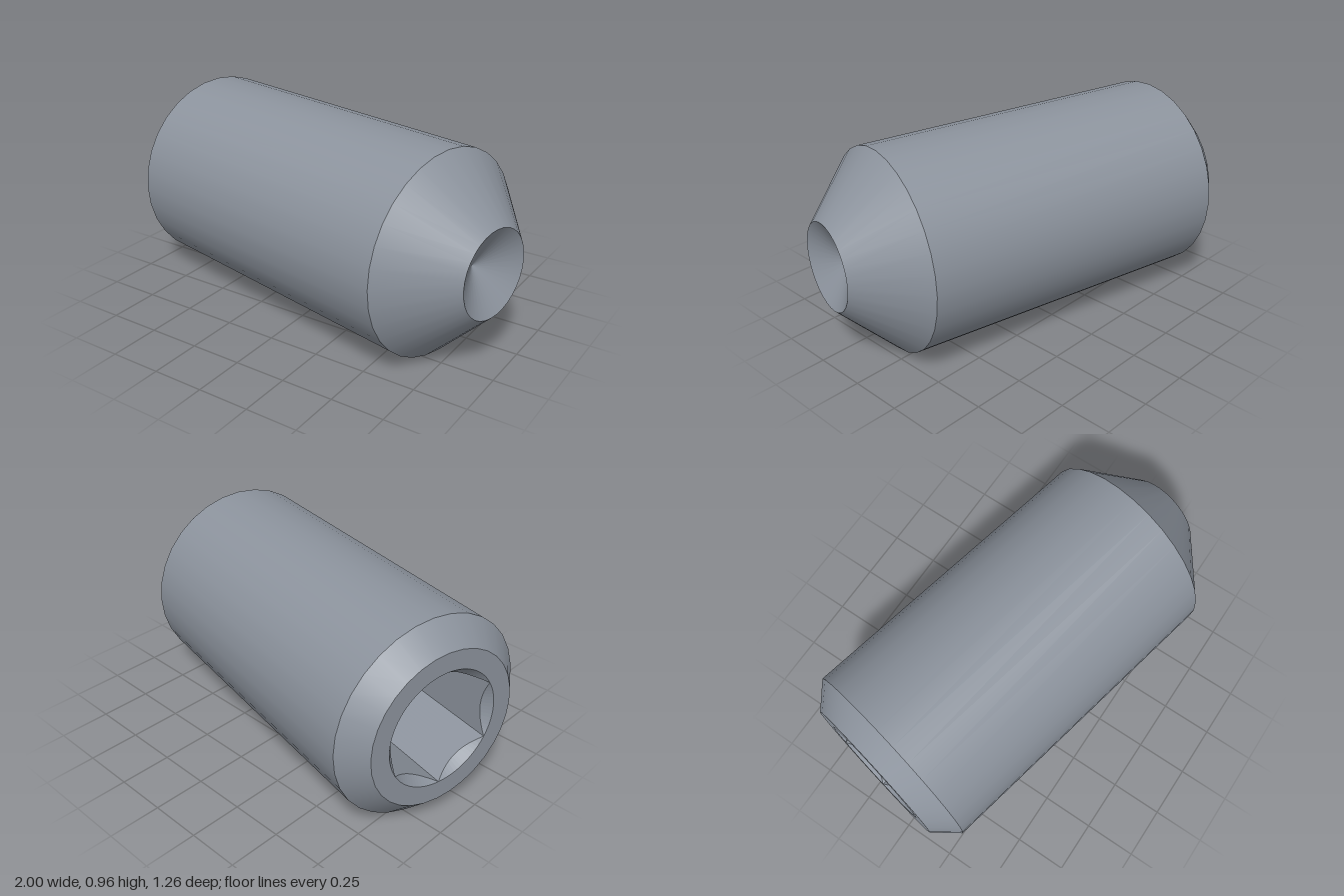
import * as THREE from 'three';

const SIDES = 32;
const BACK = -0.943; // rear face position along the axis

// radius of a regular n-gon at angle t, with a corner at t = 0
function polygonRadius(n, corner, t) {
  const step = (2 * Math.PI) / n;
  const a = t - Math.floor(t / step + 1e-6) * step;
  return (corner * Math.cos(step / 2)) / Math.cos(a - step / 2);
}

// flat-shaded skin between two closed rings; each ring maps an angle to [radius, height]
function strip(ringA, ringB, samples = 96) {
  const at = (ring, i) => {
    const t = ((i % samples) / samples) * Math.PI * 2;
    const [r, y] = ring(t);
    return [r * Math.cos(t), y, r * Math.sin(t)];
  };
  const pos = [];
  for (let i = 0; i < samples; i++) {
    const a = at(ringA, i), b = at(ringA, i + 1), c = at(ringB, i + 1), d = at(ringB, i);
    pos.push(...a, ...b, ...d);
    if (Math.hypot(c[0] - d[0], c[2] - d[2]) > 1e-6) pos.push(...b, ...c, ...d);
  }
  const g = new THREE.BufferGeometry();
  g.setAttribute('position', new THREE.Float32BufferAttribute(pos, 3));
  g.computeVertexNormals();
  return g;
}

export function createModel() {
  const steel = new THREE.MeshStandardMaterial({ color: 0x8c939d });
  steel.name = 'steel';

  const screw = new THREE.Group();
  screw.name = 'setScrew';
  const add = (name, geometry) => {
    const mesh = new THREE.Mesh(geometry, steel);
    mesh.name = name;
    screw.add(mesh);
  };

  // turned surfaces, one per section so the edges stay sharp
  const turned = [
    ['rearChamfer', 0.373, BACK, 0.48, -0.836],
    ['shank', 0.48, -0.836, 0.48, 0.705],
    ['conePoint', 0.48, 0.705, 0.206, 0.976],
    ['cupRecess', 0.206, 0.976, 0, 0.856],
  ];
  for (const [name, r0, y0, r1, y1] of turned) {
    const profile = [new THREE.Vector2(r0, y0), new THREE.Vector2(r1, y1)];
    add(name, new THREE.LatheGeometry(profile, SIDES));
  }

  // hexagonal socket with a countersunk mouth
  const corner = 0.28, floor = BACK + 0.56;
  const hex = (t) => polygonRadius(6, corner, t);
  const rim = (t) => [polygonRadius(SIDES, 0.373, t), BACK];
  const mouth = () => [corner, BACK];
  const sink = (t) => [hex(t), BACK + (corner - hex(t)) * 1.1];
  const base = (t) => [hex(t), floor];
  const tip = () => [0, floor + 0.1];
  add('rearFace', strip(rim, mouth));
  add('socketCountersink', strip(mouth, sink));
  add('socketWalls', strip(sink, base));
  add('socketFloor', strip(base, tip));

  // lay the axis down, turned slightly towards the front
  screw.rotation.set(0, -THREE.MathUtils.degToRad(12), -Math.PI / 2);
  screw.position.set(0, 0.482, 0.01);

  const model = new THREE.Group();
  model.name = 'model';
  model.add(screw);
  return model;
}
